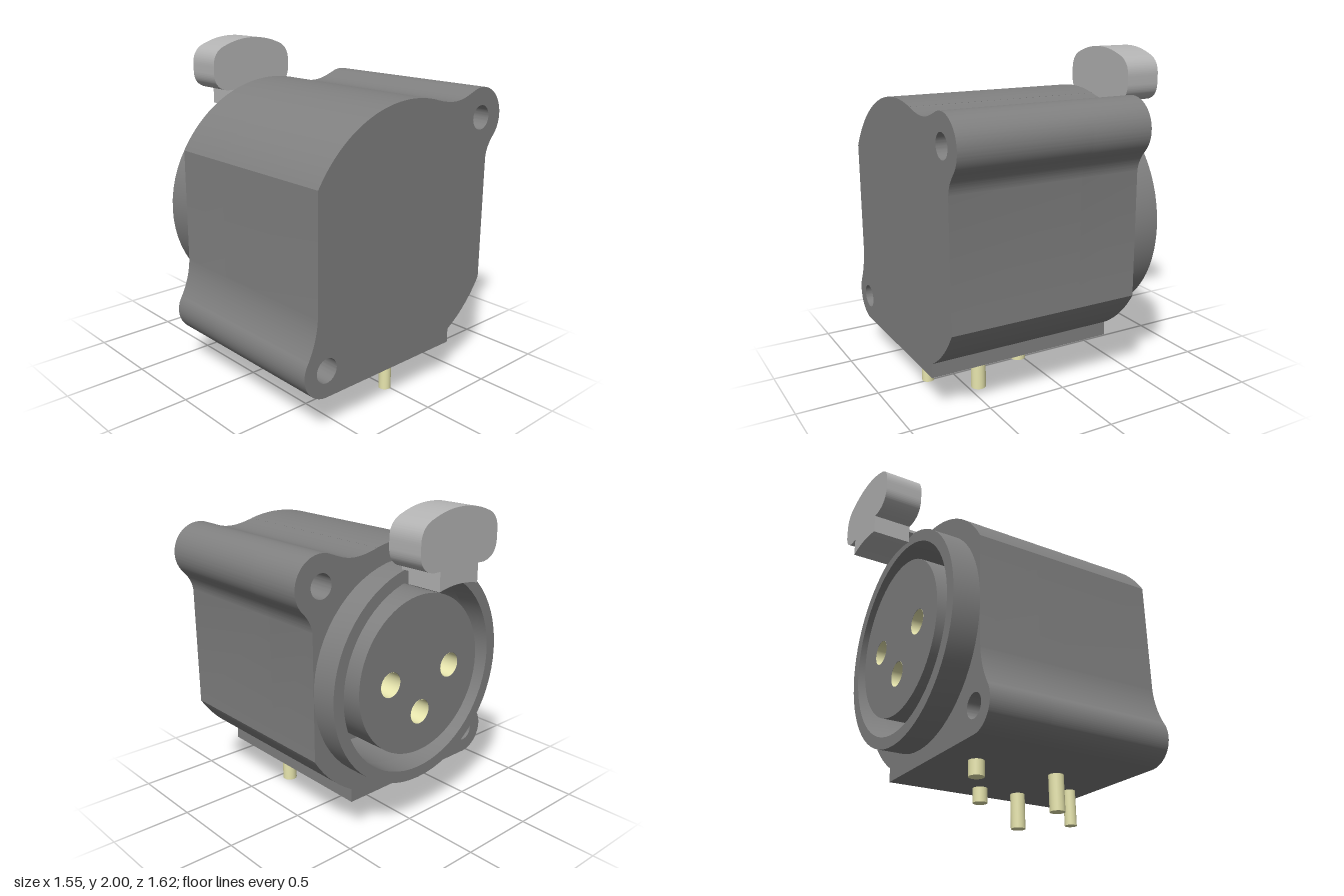
import * as THREE from 'three';
import { toCreasedNormals } from 'three/addons/utils/BufferGeometryUtils.js';

const CX = -0.0125, CY = 0.983; // axis of the round socket
const rad = THREE.MathUtils.degToRad;

const shellMat = new THREE.MeshStandardMaterial({ color: 0x808080 });
const latchMat = new THREE.MeshStandardMaterial({ color: 0xb4b4b4 });
const contactMat = new THREE.MeshStandardMaterial({ color: 0xe8e6ae });
const boreMat = new THREE.MeshStandardMaterial({ color: 0xe8e6ae, side: THREE.DoubleSide });

function addMesh(group, name, geometry, material) {
  const mesh = new THREE.Mesh(geometry, material);
  mesh.name = name;
  group.add(mesh);
  return mesh;
}

// Extrude a front outline from z0 to z1, smooth along curves, sharp at corners
function slab(shape, z0, z1) {
  const g = new THREE.ExtrudeGeometry(shape, { depth: z1 - z0, bevelEnabled: false, curveSegments: 32 });
  g.translate(0, 0, z0);
  return toCreasedNormals(g, 0.5);
}

function circleHole(x, y, r) {
  return new THREE.Path().absarc(x, y, r, 0, Math.PI * 2, true);
}

function disc(x, y, r) {
  return new THREE.Shape().absarc(x, y, r, 0, Math.PI * 2, false);
}

// Housing outline: big arc, flat sides and two opposite screw lugs
function housingShape() {
  const s = new THREE.Shape();
  const R = 0.784;
  s.moveTo(-0.62, 0.22);
  s.lineTo(0.385, 0.22);
  s.lineTo(0.385, 0.308);
  s.absarc(CX, CY, R, Math.atan2(0.308 - CY, 0.385 - CX), Math.atan2(0.58 - CY, 0.66 - CX), false);
  s.lineTo(0.66, 1.34);
  s.quadraticCurveTo(0.665, 1.41, 0.595 + 0.178 * Math.cos(rad(-42)), 1.593 + 0.178 * Math.sin(rad(-42)));
  s.absarc(0.595, 1.593, 0.178, rad(-42), rad(108), false);
  s.bezierCurveTo(0.44, 1.725, 0.38, 1.685, 0.19, 1.74);
  s.absarc(CX, CY, R, Math.atan2(1.74 - CY, 0.19 - CX), Math.atan2(1.385 - CY, -0.685 - CX), false);
  s.lineTo(-0.685, 0.7);
  s.quadraticCurveTo(-0.69, 0.58, -0.62 + 0.158 * Math.cos(rad(146)), 0.378 + 0.158 * Math.sin(rad(146)));
  s.absarc(-0.62, 0.378, 0.158, rad(146), rad(270), false);
  s.holes.push(circleHole(0.595, 1.593, 0.072), circleHole(-0.62, 0.378, 0.072));
  return s;
}

// Latch button: domed top, rounded ends, stem whose foot follows the socket bore
function latchShape() {
  const s = new THREE.Shape();
  const foot = Math.asin(0.152 / 0.6);
  s.moveTo(CX + 0.152, CY + 0.6 * Math.cos(foot));
  s.lineTo(CX + 0.152, 1.675);
  s.lineTo(CX + 0.2, 1.675);
  s.quadraticCurveTo(CX + 0.303, 1.69, CX + 0.303, 1.79);
  s.lineTo(CX + 0.303, 1.835);
  s.quadraticCurveTo(CX + 0.303, 1.93, CX + 0.21, 1.96);
  s.quadraticCurveTo(CX + 0.11, 2.0, CX, 2.0);
  s.quadraticCurveTo(CX - 0.11, 2.0, CX - 0.21, 1.96);
  s.quadraticCurveTo(CX - 0.303, 1.93, CX - 0.303, 1.835);
  s.lineTo(CX - 0.303, 1.79);
  s.quadraticCurveTo(CX - 0.303, 1.69, CX - 0.2, 1.675);
  s.lineTo(CX - 0.152, 1.675);
  s.lineTo(CX - 0.152, CY + 0.6 * Math.cos(foot));
  s.absarc(CX, CY, 0.6, Math.PI / 2 + foot, Math.PI / 2 - foot, true);
  return s;
}

export function createModel() {
  const model = new THREE.Group();
  model.name = 'panelSocket';

  // Housing: solid front half, rear half bored for the socket
  addMesh(model, 'housingFront', slab(housingShape(), 0, 0.81), shellMat);
  const bored = housingShape();
  bored.holes.push(circleHole(CX, CY, 0.6));
  addMesh(model, 'housingRear', slab(bored, -0.385, 0), shellMat);

  // Raised collar around the socket
  const collar = disc(CX, CY, 0.672);
  collar.holes.push(circleHole(CX, CY, 0.6));
  addMesh(model, 'collar', slab(collar, -0.55, -0.385), shellMat);

  // Insert with three contact bores
  const bores = [[-0.245, 0], [0.245, 0], [0, -0.235]];
  const insert = disc(CX, CY, 0.488);
  for (const [x, y] of bores) insert.holes.push(circleHole(CX + x, CY + y, 0.077));
  addMesh(model, 'insert', slab(insert, -0.55, 0), shellMat);

  // Contact sleeves lining the bores, closed at the bottom
  for (const [x, y] of bores) {
    const profile = [[0, 0], [0.076, 0], [0.076, 0.545]].map(([r, h]) => new THREE.Vector2(r, h));
    const g = toCreasedNormals(new THREE.LatheGeometry(profile, 32).toNonIndexed(), 0.5);
    const sleeve = addMesh(model, 'contactSleeve', g, boreMat);
    sleeve.rotation.x = -Math.PI / 2;
    sleeve.position.set(CX + x, CY + y, -0.005);
  }

  // Latch button and the thin tongue joining it to the collar
  addMesh(model, 'latchButton', slab(latchShape(), -0.81, -0.58), latchMat);
  const tongue = addMesh(model, 'latchTongue', new THREE.BoxGeometry(0.304, 0.018, 0.06), latchMat);
  tongue.position.set(CX, 1.646, -0.56);

  // Solder pins under the housing: x, z, radius, bottom height
  const pins = [
    [-0.013, 0.667, 0.037, 0],
    [0.223, 0.435, 0.046, 0],
    [-0.25, 0.395, 0.046, 0],
    [0.223, 0.157, 0.046, 0.127],
    [-0.25, -0.15, 0.047, 0.127],
  ];
  for (const [x, z, r, y0] of pins) {
    const h = 0.24 - y0;
    addMesh(model, 'solderPin', new THREE.CylinderGeometry(r, r, h, 20), contactMat).position.set(x, y0 + h / 2, z);
  }
  return model;
}
